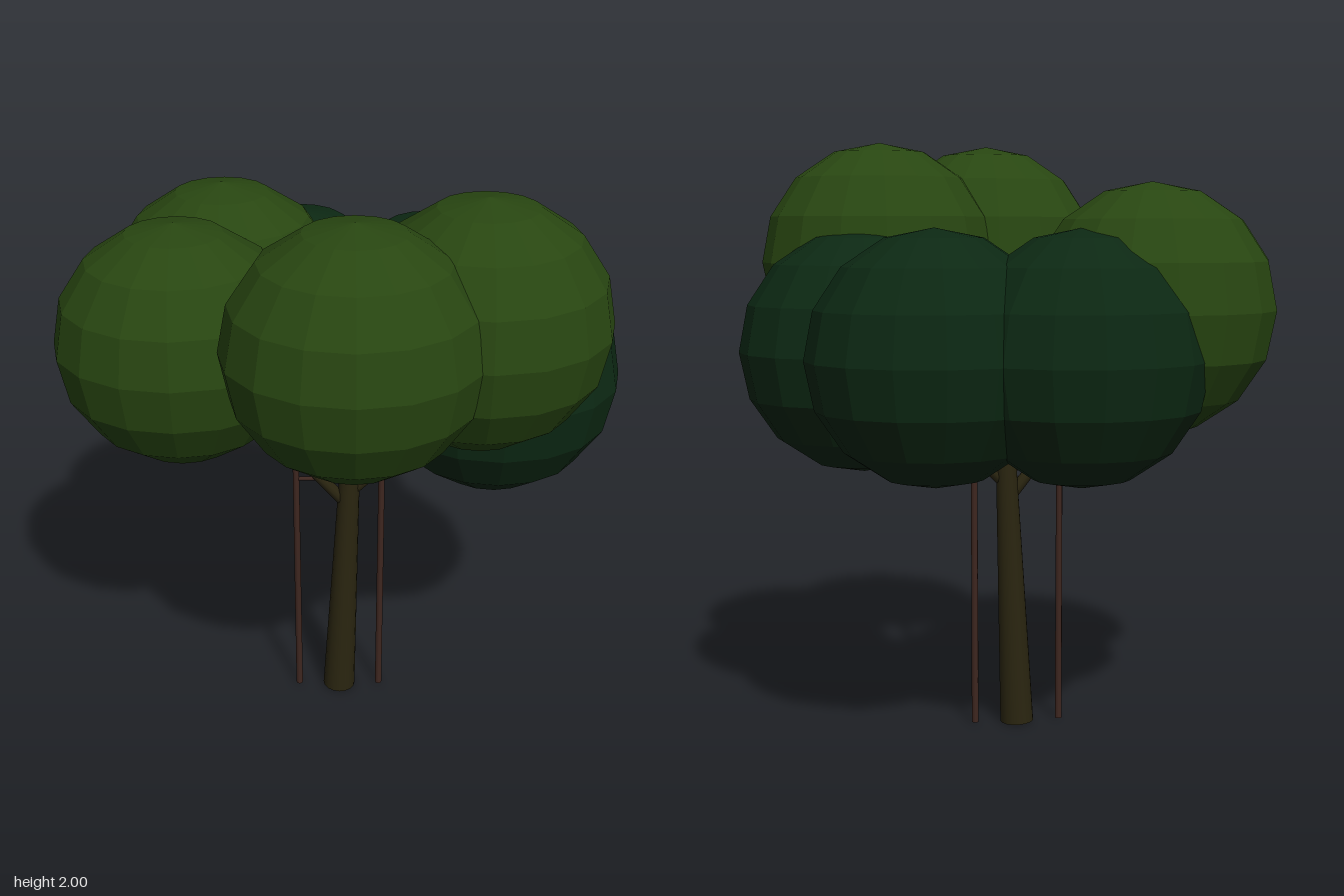
import * as THREE from 'three';

const mat = (name, color, flatShading = false) => {
  const m = new THREE.MeshStandardMaterial({ color, flatShading });
  m.name = name;
  return m;
};

// Tapered round limb between two points
function limb(name, a, b, r0, r1, sides, material) {
  const p = new THREE.Vector3(...a), q = new THREE.Vector3(...b);
  const dir = q.clone().sub(p);
  const mesh = new THREE.Mesh(new THREE.CylinderGeometry(r1, r0, dir.length(), sides), material);
  mesh.position.copy(p).add(q).multiplyScalar(0.5);
  mesh.quaternion.setFromUnitVectors(new THREE.Vector3(0, 1, 0), dir.normalize());
  mesh.name = name;
  return mesh;
}

export function createModel() {
  const tree = new THREE.Group();
  tree.name = 'tree';
  const bark = mat('bark', 0x2a2510);
  const stakeWood = mat('stakeWood', 0x3f2720);
  const lightLeaf = mat('lightLeaf', 0x284611, true);
  const darkLeaf = mat('darkLeaf', 0x0c2813, true);

  // Slightly leaning trunk
  const trunkX = (y) => -0.007 + 0.04 * y;
  tree.add(limb('trunk', [trunkX(0), 0.003, 0], [trunkX(1.25), 1.25, 0], 0.058, 0.027, 16, bark));

  // Foliage clumps: centre, leaf colour, height where the branch leaves the trunk
  const clumps = [
    [[0.037, 1.595, 0.435], lightLeaf, 1.18],
    [[0.433, 1.595, 0.235], lightLeaf, 1.08],
    [[-0.518, 1.452, 0.065], lightLeaf, 0.79],
    [[-0.393, 1.452, -0.305], lightLeaf, 1.01],
    [[-0.145, 1.307, -0.435], darkLeaf, 1.0],
    [[0.307, 1.307, -0.365], darkLeaf, 0.95],
    [[0.512, 1.307, 0], darkLeaf, 0.84],
  ];
  const ball = new THREE.SphereGeometry(0.405, 16, 8);
  ball.scale(1, 1, 0.877);
  for (const [c, leaf, y] of clumps) {
    const clump = new THREE.Mesh(ball, leaf);
    clump.position.set(...c);
    clump.name = 'foliageClump';
    tree.add(clump);
    // Branch from the trunk into the clump
    const start = new THREE.Vector3(trunkX(y), y, 0);
    const end = start.clone().lerp(new THREE.Vector3(...c), 0.8);
    tree.add(limb('branch', start.toArray(), end.toArray(), 0.021, 0.014, 10, bark));
  }

  // Two support stakes joined by a thin tie
  for (const [x, top] of [[-0.155, 0.97], [0.14, 0.98]])
    tree.add(limb('stake', [x, 0.003, 0], [x, top, 0], 0.012, 0.011, 8, stakeWood));
  tree.add(limb('stakeTie', [-0.155, 0.897, 0], [0.14, 0.897, 0], 0.007, 0.007, 8, stakeWood));

  return tree;
}
